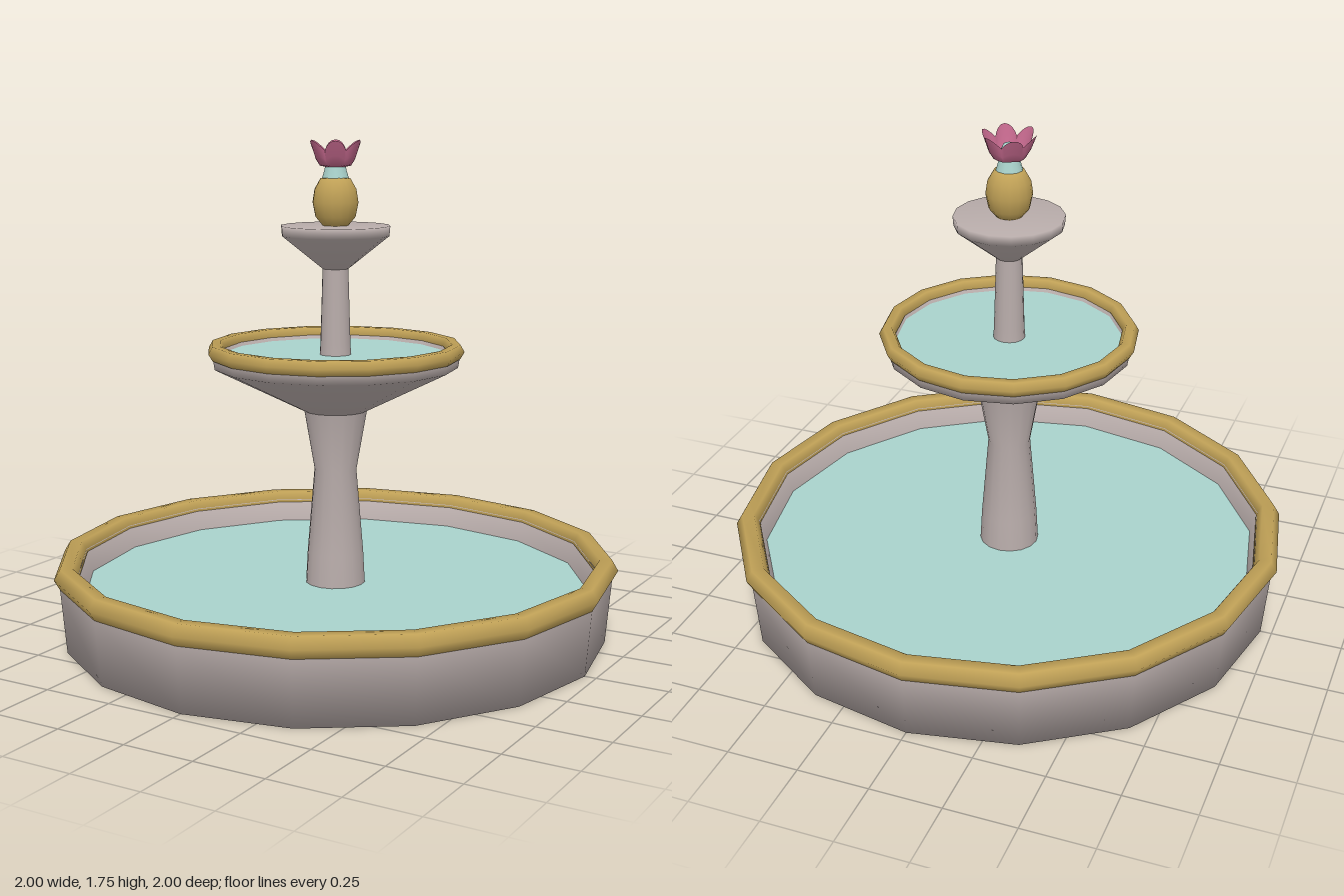
import * as THREE from 'three';

const SIDES = 16;

function material(name, color, side = THREE.FrontSide) {
  const m = new THREE.MeshStandardMaterial({ color, side });
  m.name = name;
  return m;
}

export function createModel() {
  const stone = material('stone', 0xb8acaa);
  const gold = material('gold', 0xbfa056);
  const water = material('water', 0xa9d2cc);
  const pink = material('petal pink', 0xc0668a, THREE.DoubleSide);
  const group = new THREE.Group();

  const add = (name, geometry, mat, y = 0) => {
    const mesh = new THREE.Mesh(geometry, mat);
    mesh.name = name;
    mesh.position.y = y;
    group.add(mesh);
    return mesh;
  };
  // profile of [radius, height] pairs, turned about the y axis
  const turned = (name, profile, mat, sides = SIDES) =>
    add(name, new THREE.LatheGeometry(profile.map(([r, y]) => new THREE.Vector2(r, y)), sides), mat);
  const rim = (name, outer, tube, y) =>
    add(name, new THREE.TorusGeometry(outer - tube, tube, 6, SIDES).rotateX(Math.PI / 2), gold, y);
  const pool = (name, radius, y) =>
    add(name, new THREE.CircleGeometry(radius, SIDES).rotateX(-Math.PI / 2), water, y);

  // Large ground basin: floor, outer wall and inner wall
  turned('basin', [[0, 0], [0.96, 0], [0.98, 0.23], [0.965, 0.27], [0.918, 0.27], [0.89, 0.17]], stone);
  rim('basinRim', 1.0, 0.043, 0.262);
  pool('basinWater', 0.897, 0.188);

  // Waisted column carrying the middle bowl
  turned('lowerColumn', [[0.107, 0.17], [0.1, 0.3], [0.075, 0.6], [0.115, 0.83]], stone);
  turned('middleBowl', [[0, 0.81], [0.11, 0.81], [0.43, 0.97], [0.438, 1.02], [0.4, 1.035], [0.385, 0.99]], stone);
  rim('middleRim', 0.452, 0.029, 1.026);
  pool('middleWater', 0.392, 1.01);

  // Slim column and small top dish
  turned('upperColumn', [[0.056, 1.0], [0.053, 1.05], [0.045, 1.32]], stone);
  turned('topDish', [[0, 1.305], [0.045, 1.31], [0.188, 1.425], [0.191, 1.46], [0, 1.46]], stone);

  // Finial: gold bulb and a spout of water
  turned('bulb', [[0, 1.455], [0.045, 1.46], [0.07, 1.49], [0.08, 1.54], [0.073, 1.585], [0.052, 1.622], [0, 1.635]], gold);
  turned('spout', [[0.05, 1.61], [0.038, 1.65], [0.03, 1.69], [0.02, 1.712], [0, 1.72]], water, 12);

  // Six-petalled blossom: an open cup whose edge is lobed in radius and height
  const cup = new THREE.LatheGeometry(
    [[0.03, 1.66], [0.055, 1.668], [0.074, 1.7], [0.095, 1.752]].map(([r, y]) => new THREE.Vector2(r, y)), 48);
  const p = cup.attributes.position;
  for (let i = 0; i < p.count; i++) {
    const x = p.getX(i), y = p.getY(i), z = p.getZ(i);
    const notch = 1 - Math.abs(Math.cos(3 * Math.atan2(z, x)));
    const t = (y - 1.66) / 0.092;
    const k = 1 - 0.24 * notch * t;
    p.setXYZ(i, x * k, y - 0.034 * notch * t, z * k);
  }
  cup.computeVertexNormals();
  add('blossom', cup, pink);

  return group;
}
